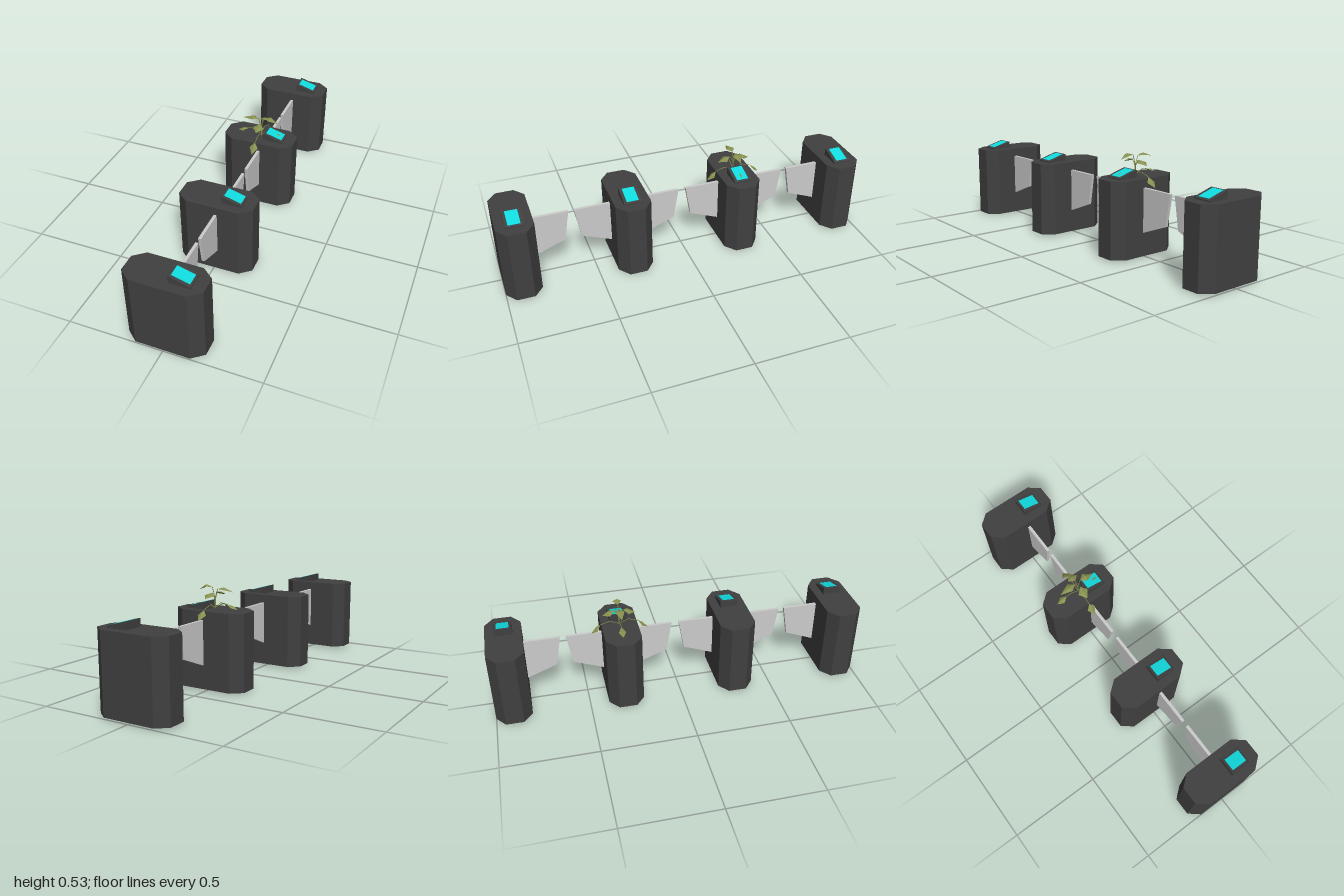
import * as THREE from 'three';

const paint = (color, extra = {}) => {
  const m = new THREE.MeshStandardMaterial({ flatShading: true, ...extra });
  m.color.set(color);
  return m;
};
const dark = paint(0x404040);
const screenBlue = paint(0x10dce0);
const panelGrey = paint(0xcccccc);
const leafGreen = paint(0x87904f, { side: THREE.DoubleSide });
const stemGreen = paint(0x7c8448);
const rootBrown = paint(0x7a5c20);

const part = (name, geometry, material) => {
  const mesh = new THREE.Mesh(geometry, material);
  mesh.name = name;
  return mesh;
};

// Straight prism from an outline, extruded along +z
const prism = (points, depth) => new THREE.ExtrudeGeometry(
  new THREE.Shape(points.map(([x, y]) => new THREE.Vector2(x, y))),
  { depth, bevelEnabled: false });

// Gate cabinet with chamfered corners, card reader and side wings
function gate(z, wingSides) {
  const g = new THREE.Group();
  g.name = 'gate';
  g.position.z = z;

  const outline = [[-0.2, -0.047], [-0.142, -0.095], [0.14, -0.095], [0.2, -0.047],
    [0.2, 0.047], [0.14, 0.095], [-0.142, 0.095], [-0.2, 0.047]];
  const body = prism(outline, 0.402).rotateX(-Math.PI / 2).translate(0, 0.008, 0);
  g.add(part('cabinet', body, dark));

  const wedge = prism([[0.03, 0.405], [0.14, 0.405], [0.14, 0.417], [0.132, 0.422], [0.033, 0.45], [0.03, 0.449]], 0.096);
  g.add(part('reader', wedge.translate(0, 0, -0.048), dark));

  const screen = prism([[0.041, 0.445], [0.131, 0.4195], [0.1313, 0.4235], [0.0413, 0.449]], 0.064);
  g.add(part('readerScreen', screen.translate(0, 0, -0.032), screenBlue));

  for (const s of wingSides) {
    const wing = prism([[0.09, 0.365], [0.285, 0.365], [0.256, 0.196], [0.09, 0.13]]
      .map(([a, y]) => [s * a, y]), 0.016);
    g.add(part('wing', wing.rotateY(-Math.PI / 2).translate(0.026, 0, 0), panelGrey));
  }
  return g;
}

// Thin square stalk running between two points
function stalk(a, b, radius) {
  const dir = b.clone().sub(a);
  const mesh = part('stalk', new THREE.CylinderGeometry(radius, radius, dir.length(), 4), stemGreen);
  mesh.position.copy(a).addScaledVector(dir, 0.5);
  mesh.quaternion.setFromUnitVectors(new THREE.Vector3(0, 1, 0), dir.normalize());
  return mesh;
}

// Leaf folded along its midrib; the path runs outward as [distance, height]:
// stalk points, then leaf base, middle and tip
function leaf(angle, path, width) {
  const g = new THREE.Group();
  g.name = 'leaf';
  const p = path.map(([r, y]) => new THREE.Vector3(r, y, 0));
  const [base, mid, tip] = p.slice(-3);
  for (let i = 0; i < p.length - 3; i++) g.add(stalk(p[i], p[i + 1], 0.0022));
  const edge = s => new THREE.Vector3(mid.x - 0.006, mid.y - 0.009, s * width);
  const [l, r] = [edge(1), edge(-1)];
  const blade = new THREE.BufferGeometry().setFromPoints(
    [base, l, mid, mid, l, tip, base, mid, r, mid, tip, r]);
  blade.computeVertexNormals();
  g.add(part('leafBlade', blade, leafGreen));
  g.rotation.y = angle;
  return g;
}

function plant() {
  const g = new THREE.Group();
  g.name = 'plant';
  g.add(stalk(new THREE.Vector3(0, 0.4, 0), new THREE.Vector3(0, 0.475, 0), 0.004));

  const upper = (lift, reach) => [[0, 0.465], [0.016, 0.515 + lift], [0.054, 0.526 + lift], [reach, 0.502]];
  const front = [[0, 0.455], [0.022, 0.495], [0.055, 0.492], [0.088, 0.472]];
  const side = [[0, 0.415], [0.05, 0.442], [0.075, 0.438], [0.11, 0.433], [0.137, 0.415]];
  const hanging = [[0, 0.412], [0.05, 0.434], [0.1, 0.418], [0.125, 0.403], [0.152, 0.37]];

  g.add(leaf(0, upper(0.005, 0.097), 0.024));
  g.add(leaf(Math.PI, upper(-0.003, 0.11), 0.024));
  for (const s of [1, -1]) {
    g.add(leaf(s * Math.PI / 2, front, 0.03));
    g.add(leaf(s > 0 ? 0 : Math.PI, side, 0.02));
    g.add(leaf(s * Math.PI / 2, hanging, 0.024));
  }

  // Crossed foot under the cabinet
  for (const [w, d] of [[0.086, 0.003], [0.003, 0.086]]) {
    g.add(part('foot', new THREE.BoxGeometry(w, 0.012, d).translate(0, 0.006, 0), rootBrown));
  }
  return g;
}

export function createModel() {
  const model = new THREE.Group();
  model.name = 'turnstileRow';
  model.add(gate(0.905, [-1]), gate(0.305, [1, -1]), gate(-0.305, [1, -1]), gate(-0.905, [1]));
  const greenery = plant();
  greenery.position.z = -0.305;
  model.add(greenery);
  return model;
}
